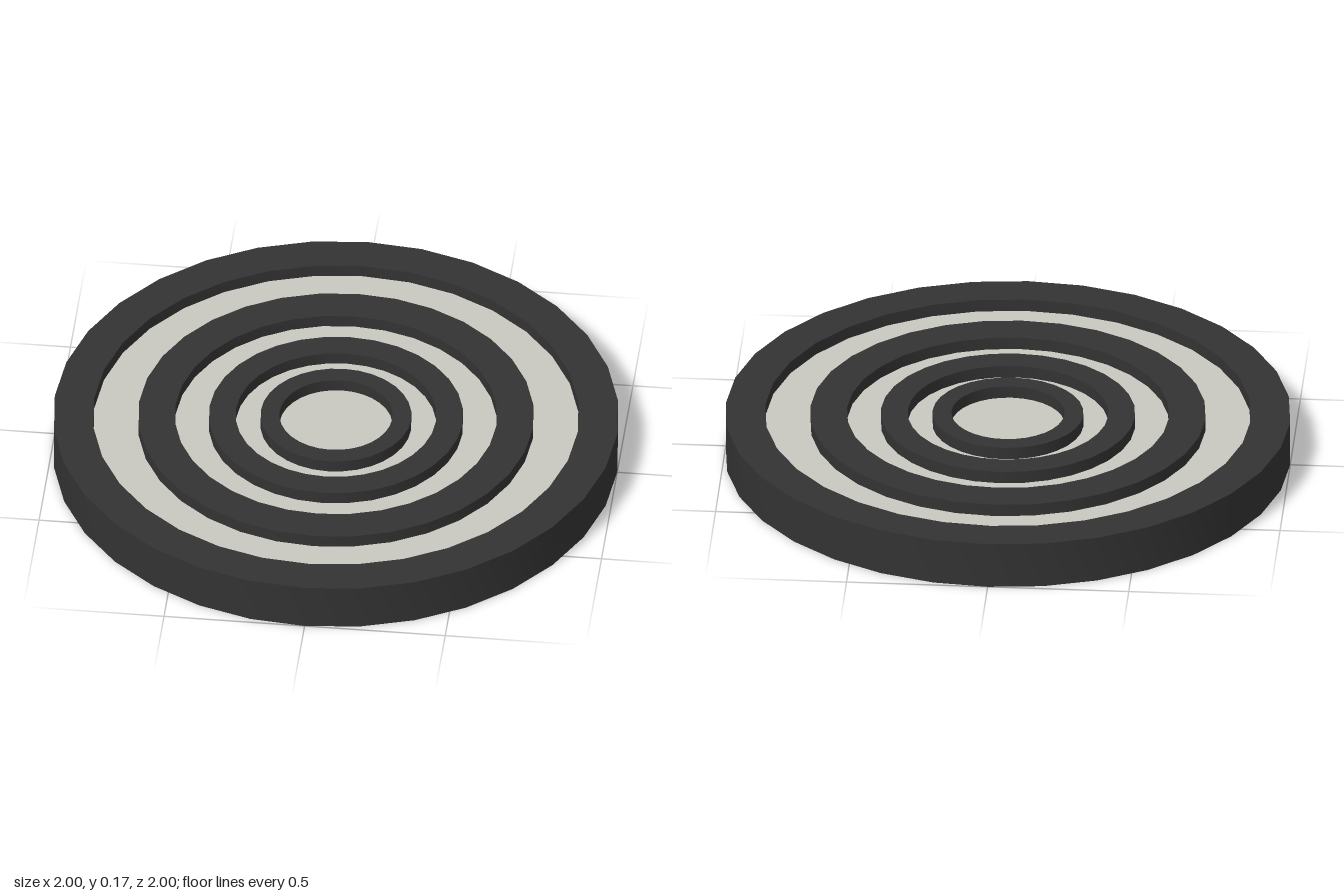
import * as THREE from 'three';
import { toCreasedNormals } from 'three/addons/utils/BufferGeometryUtils.js';

const SEGMENTS = 32;
const TOP = 0.17;
const FLOOR = 0.125;

export function createModel() {
  const group = new THREE.Group();
  const dark = new THREE.MeshStandardMaterial({ color: 0x333333 });
  const pale = new THREE.MeshStandardMaterial({ color: 0xc9c9c1 });

  function add(name, geometry, material) {
    const mesh = new THREE.Mesh(geometry, material);
    mesh.name = name;
    group.add(mesh);
  }

  // Revolve a profile, keeping its corners sharp and its walls smooth
  function revolve(points) {
    const profile = points.map(([r, y]) => new THREE.Vector2(r, y));
    return toCreasedNormals(new THREE.LatheGeometry(profile, SEGMENTS), Math.PI / 6);
  }

  // Raised rings: [outer radius, inner radius], from the rim to the centre
  const rings = [[1, 0.86], [0.7, 0.57], [0.45, 0.355], [0.267, 0.2]];

  rings.forEach(([outer, inner], i) => {
    // The rim also carries the outer wall and the closed underside
    const start = i === 0 ? [[0, 0], [outer, 0]] : [[outer, FLOOR]];
    const profile = [...start, [outer, TOP], [inner, TOP], [inner, FLOOR]];
    add(i === 0 ? 'rimAndBase' : `raisedRing${i}`, revolve(profile), dark);

    // Recessed pale band between this ring and the next, or the centre disc
    const next = rings[i + 1];
    const floor = next
      ? new THREE.RingGeometry(next[0], inner, SEGMENTS)
      : new THREE.CircleGeometry(inner, SEGMENTS);
    floor.rotateX(-Math.PI / 2).translate(0, FLOOR, 0);
    add(next ? `recessedBand${i + 1}` : 'centreDisc', floor, pale);
  });

  return group;
}
